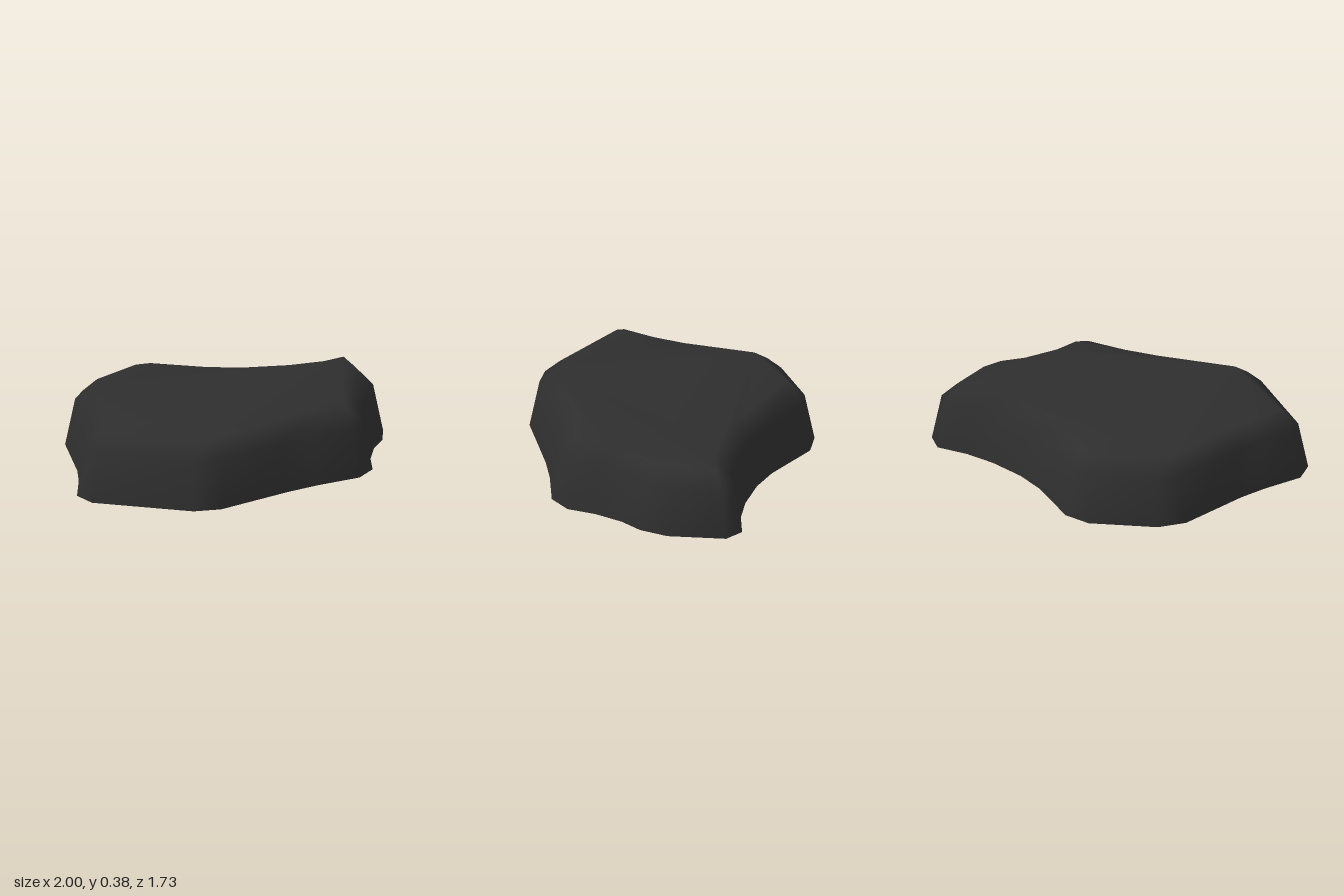
import * as THREE from 'three';

// Base outline as [x, z], counterclockwise seen from above
const OUTLINE = [
  [-0.35, -0.865], [-0.52, -0.84], [-0.85, -0.58], [-0.93, -0.42],
  [-0.93, 0.05], [-0.95, 0.23], [-1, 0.48], [-0.93, 0.615],
  [-0.35, 0.86], [-0.18, 0.85], [0.27, 0.61], [0.46, 0.525],
  [0.73, 0.43], [0.83, 0.3], [0.845, 0.12], [0.895, -0.06],
  [0.97, -0.2], [1, -0.38], [0.93, -0.73], [0.815, -0.795],
  [0.63, -0.73], [0.44, -0.7], [0.2, -0.7], [0.01, -0.735],
].map(([x, z]) => new THREE.Vector2(x, z));

// Rings from the open bottom to the top: height and inset
const RINGS = [[0, 0], [0.293, 0.06], [0.385, 0.16]];

// Move every outline point inward along its averaged edge normal
function insetOutline(distance) {
  const n = OUTLINE.length;
  const edgeNormal = (a, b) => new THREE.Vector2(a.y - b.y, b.x - a.x).normalize();
  return OUTLINE.map((p, i) => {
    const normal = edgeNormal(OUTLINE[(i + n - 1) % n], p)
      .add(edgeNormal(p, OUTLINE[(i + 1) % n])).normalize();
    return p.clone().addScaledVector(normal, -distance);
  });
}

function slabGeometry() {
  const n = OUTLINE.length;
  const positions = [];
  const index = [];
  let ring;

  for (const [y, inset] of RINGS) {
    ring = insetOutline(inset);
    ring.forEach((p) => positions.push(p.x, y, p.y));
  }

  // Sloping wall and bevel
  for (let r = 0; r < RINGS.length - 1; r++) {
    for (let i = 0; i < n; i++) {
      const a = r * n + i;
      const b = r * n + (i + 1) % n;
      index.push(a, b, b + n, a, b + n, a + n);
    }
  }

  // Flat top
  const flat = ring.map((p) => new THREE.Vector2(p.x, -p.y));
  const start = (RINGS.length - 1) * n;
  for (const face of THREE.ShapeUtils.triangulateShape(flat, [])) {
    index.push(...face.map((i) => start + i));
  }

  const geometry = new THREE.BufferGeometry();
  geometry.setAttribute('position', new THREE.Float32BufferAttribute(positions, 3));
  geometry.setIndex(index);
  geometry.computeVertexNormals();
  return geometry;
}

export function createModel() {
  const group = new THREE.Group();
  group.name = 'stoneSlab';

  // The shell is open underneath, so both sides show
  const stone = new THREE.MeshStandardMaterial({ color: 0x2e2e2e, side: THREE.DoubleSide });
  stone.name = 'darkStone';

  const slab = new THREE.Mesh(slabGeometry(), stone);
  slab.name = 'slabShell';
  group.add(slab);
  return group;
}
